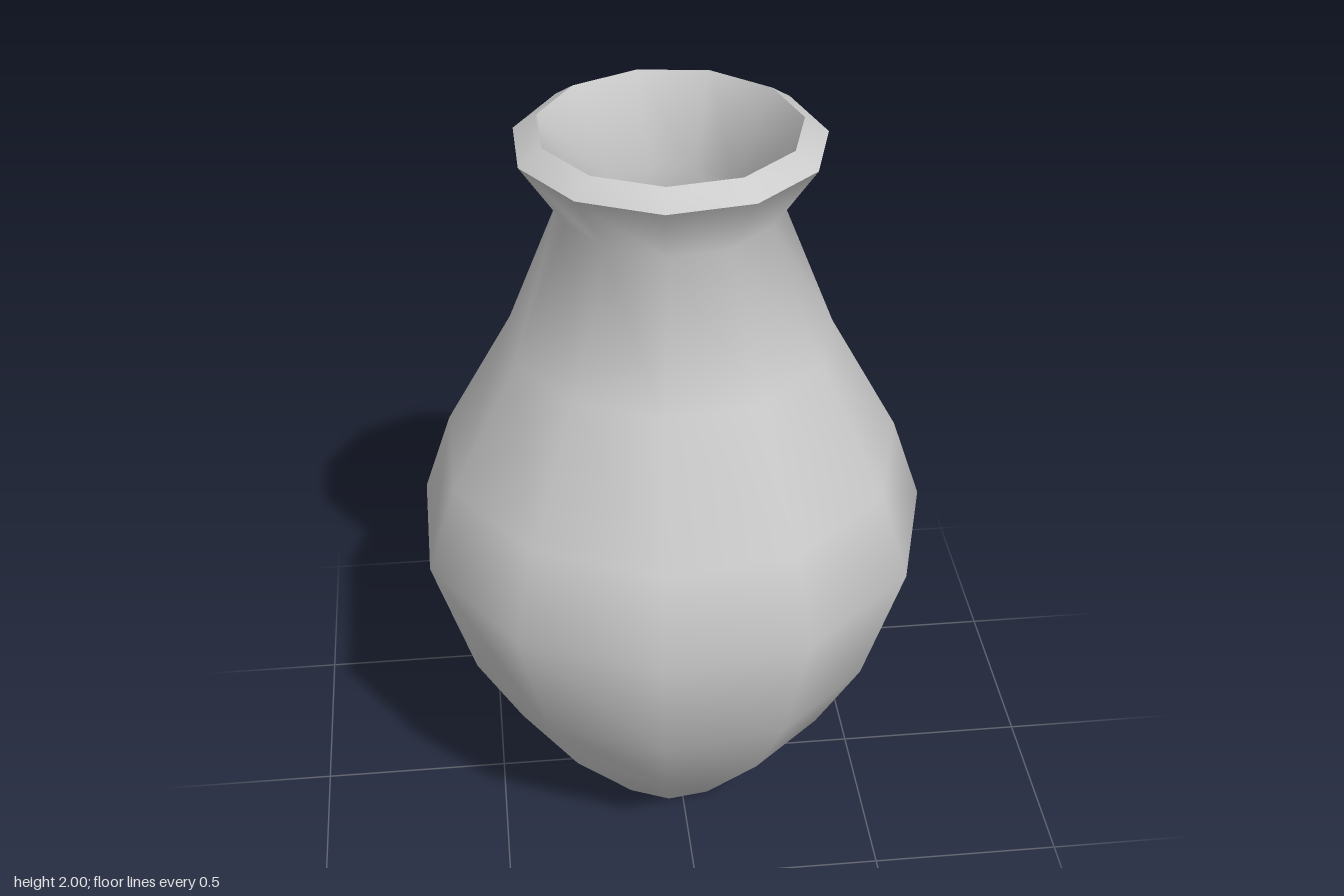
import * as THREE from 'three';
import { toCreasedNormals } from 'three/addons/utils/BufferGeometryUtils.js';

const SIDES = 11;

// Turn a [radius, height] profile around the y axis, with one corner near +x
function turned(name, profile, material) {
  const points = profile.map(([r, y]) => new THREE.Vector2(r, y));
  const lathe = new THREE.LatheGeometry(points, SIDES, Math.PI / 2 + 0.012);
  const mesh = new THREE.Mesh(toCreasedNormals(lathe, 1.1), material);
  mesh.name = name;
  return mesh;
}

export function createModel() {
  const vase = new THREE.Group();
  vase.name = 'vase';
  const clay = new THREE.MeshStandardMaterial({ color: 0xcccccc });

  // One continuous wall: base, belly, neck, flared rim, then down the inside
  const body = turned('vaseBody', [
    [0, 0], [0.2, 0], [0.445, 0.29], [0.566, 0.51], [0.675, 0.87],
    [0.597, 1.1], [0.417, 1.43], [0.275, 1.79], // belly and shoulder to neck
    [0.386, 1.96], [0.326, 2], // flared rim with bevelled top
    [0.203, 1.79], [0.345, 1.42], [0.525, 1.08], [0.6, 0.87], // inner wall
    [0.495, 0.53], [0.38, 0.32], [0.19, 0.07], [0, 0.07], // inner floor
  ], clay);

  // The odd number of sides leaves the axis slightly off centre
  body.position.set(-0.014, 0, -0.003);
  vase.add(body);
  return vase;
}
